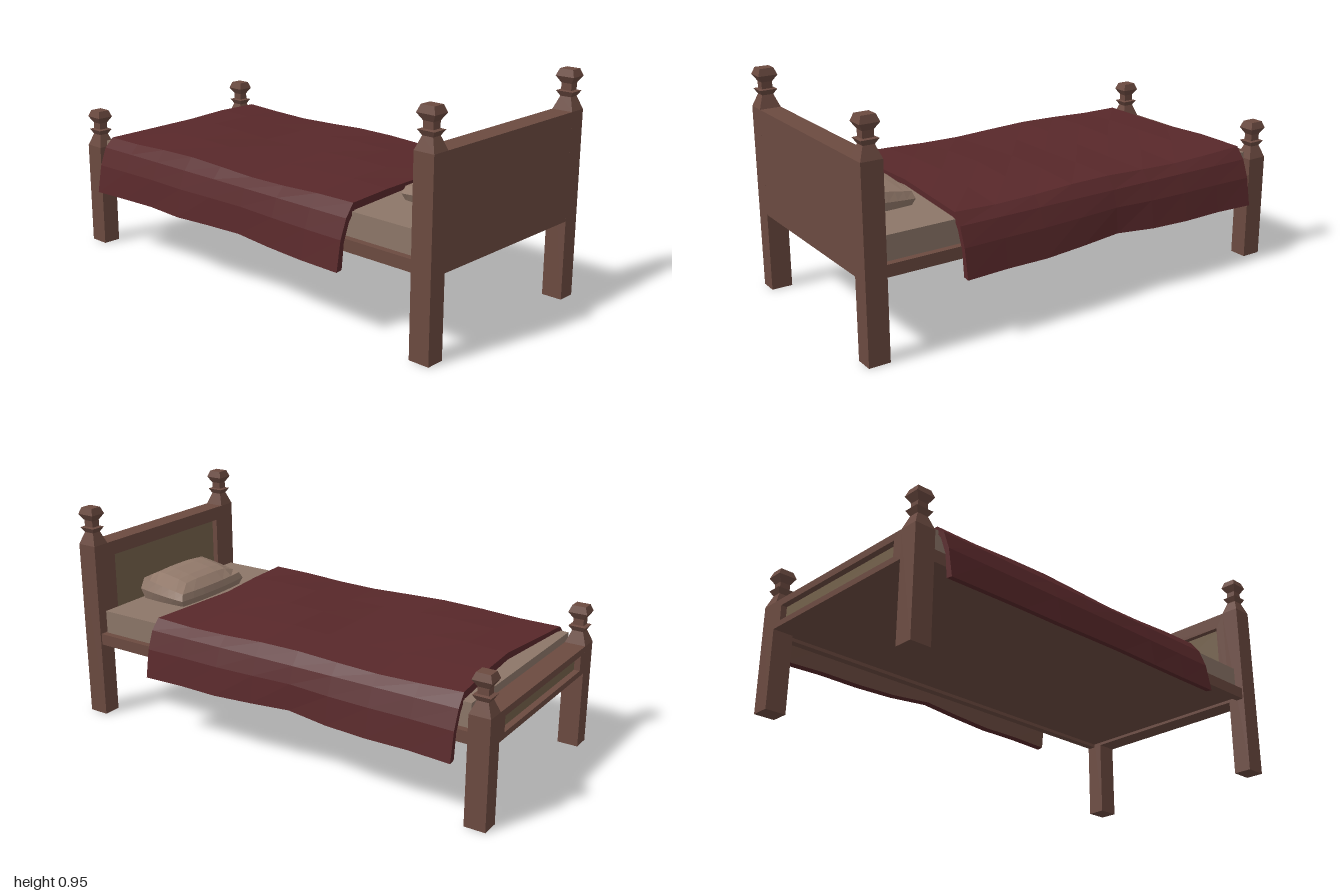
import * as THREE from 'three';

const mat = (color) => new THREE.MeshStandardMaterial({ color, flatShading: true, roughness: 0.9 });
const wood = mat(0x6b4a40);
const panelWood = mat(0x73604a);
const linen = mat(0x8c7668);
const pillowCloth = mat(0x937a6b);
const red = mat(0x58282a);
const lining = mat(0x6b4a40);

function add(parent, name, geometry, material, x = 0, y = 0, z = 0) {
  const mesh = new THREE.Mesh(geometry, material);
  mesh.name = name;
  mesh.position.set(x, y, z);
  parent.add(mesh);
  return mesh;
}

// Box given by its two extreme corners
function block(parent, name, material, [x0, y0, z0], [x1, y1, z1]) {
  return add(parent, name, new THREE.BoxGeometry(x1 - x0, y1 - y0, z1 - z0), material,
    (x0 + x1) / 2, (y0 + y1) / 2, (z0 + z1) / 2);
}

// Square post with a stepped finial; h is the shoulder height
function postGeometry(h) {
  const profile = [
    [0, 0], [0.0395, 0], [0.0395, h], [0.021, h + 0.053], [0.033, h + 0.075], [0.02, h + 0.078],
    [0.02, h + 0.106], [0.036, h + 0.134], [0.026, h + 0.163], [0, h + 0.163],
  ].map(([r, y]) => new THREE.Vector2(r * Math.SQRT2, y));
  const geo = new THREE.LatheGeometry(profile, 4, Math.PI / 4);
  geo.scale(1, 1, 1.14);
  return geo;
}

// End board with a recessed panel on its -z face
function endBoard(parent, name, y0, y1, p0, p1, zMin) {
  const group = new THREE.Group();
  group.name = name;
  parent.add(group);
  const depth = 0.09, recess = 0.03, w = 0.4, pw = 0.355;
  const frame = new THREE.Shape([[-w, y0], [w, y0], [w, y1], [-w, y1]].map(([x, y]) => new THREE.Vector2(x, y)));
  frame.holes.push(new THREE.Path([[-pw, p0], [-pw, p1], [pw, p1], [pw, p0]].map(([x, y]) => new THREE.Vector2(x, y))));
  add(group, name + 'Frame', new THREE.ExtrudeGeometry(frame, { depth: recess, bevelEnabled: false }), wood, 0, 0, zMin);
  block(group, name + 'Back', wood, [-w, y0, zMin + recess], [w, y1, zMin + depth]);
  block(group, name + 'Panel', panelWood, [-pw, p0, zMin + recess - 0.004], [pw, p1, zMin + recess + 0.01]);
}

// Draped blanket: a thick cross-section swept along the bed with gentle ripples
function blanketGeometry() {
  const outerHalf = [[0.525, 0.268], [0.504, 0.39], [0.474, 0.468], [0.434, 0.51], [0.22, 0.518]];
  const innerHalf = [[0.497, 0.272], [0.486, 0.375], [0.458, 0.45], [0.425, 0.49], [0.22, 0.492]];
  const mirror = (half) => [...half, [0, half[4][1] + 0.002], ...half.slice().reverse().map(([x, y]) => [-x, y])];
  const outer = mirror(outerHalf);
  const ring = [...outer, ...mirror(innerHalf).reverse()];
  const n = ring.length, m = outer.length, steps = 8;
  const pos = [], index = [];
  for (let i = 0; i <= steps; i++) {
    const t = i / steps;
    const free = 1 - Math.abs(2 * t - 1);
    ring.forEach(([x, y], j) => {
      const side = Math.sign(x);
      // 0 at the mattress edge, 1 at the hem
      const hang = THREE.MathUtils.clamp((0.47 - y) / 0.2, 0, 1);
      // ends are drawn in slightly at the middle of the bed
      const inset = 0.035 * Math.max(0, 1 - Math.abs(x) / 0.45);
      const z = THREE.MathUtils.lerp(-0.87 + inset, 0.6 - inset, t);
      const ripple = Math.sin(i * 1.7 + side * 0.8);
      const lift = hang > 0 ? hang * free * (0.014 + 0.008 * ripple)
        : (j < m ? 0.003 + 0.007 * Math.sin(i * 1.3 + x * 5) : 0);
      pos.push(x - side * hang * free * (0.012 + 0.008 * ripple), y + lift, z);
    });
  }
  for (let j = 0; j < n; j++) {
    for (let i = 0; i < steps; i++) {
      const a = i * n + j, b = i * n + (j + 1) % n, c = a + n, d = b + n;
      index.push(a, b, c, b, d, c);
    }
  }
  // end caps join the upper and lower layers
  for (let j = 0; j < m - 1; j++) {
    const a = j, b = j + 1, c = n - 1 - j, d = n - 2 - j, e = steps * n;
    index.push(a, c, b, b, c, d, e + a, e + b, e + c, e + b, e + d, e + c);
  }
  const geo = new THREE.BufferGeometry();
  geo.setAttribute('position', new THREE.Float32BufferAttribute(pos, 3));
  geo.setIndex(index);
  geo.computeVertexNormals();
  // upper cloth and hem, lining, then the other hem and end caps
  const strip = steps * 6;
  geo.addGroup(0, m * strip, 0);
  geo.addGroup(m * strip, (m - 1) * strip, 1);
  geo.addGroup((n - 1) * strip, index.length - (n - 1) * strip, 0);
  return geo;
}

// Cushion with a flat base and a puffed top that rises towards the headboard
function pillowGeometry() {
  const geo = new THREE.BoxGeometry(2, 2, 2, 6, 2, 6);
  const p = geo.attributes.position;
  for (let i = 0; i < p.count; i++) {
    const x = p.getX(i), y = p.getY(i), z = p.getZ(i);
    const puff = (1 - x ** 4) * (1 - z ** 4);
    const height = 0.077 + 0.02 * z + 0.036 * puff;
    const rim = 1 - 0.07 * Math.abs(y);
    p.setXYZ(i, x * 0.224 * rim * (1 - 0.03 * z * z), (y + 1) / 2 * height, z * 0.134 * rim * (1 - 0.09 * x * x));
  }
  geo.computeVertexNormals();
  return geo;
}

export function createModel() {
  const bed = new THREE.Group();
  bed.name = 'bed';

  // Corner posts and side rails
  for (const side of [-1, 1]) {
    add(bed, 'headPost', postGeometry(0.787), wood, side * 0.435, 0, 0.955);
    add(bed, 'footPost', postGeometry(0.458), wood, side * 0.435, 0, -0.955);
    const xs = [side * 0.435, side * 0.468].sort((a, b) => a - b);
    block(bed, 'sideRail', wood, [xs[0], 0.335, -0.92], [xs[1], 0.385, 0.92]);
  }

  // Head and foot boards
  endBoard(bed, 'headboard', 0.337, 0.787, 0.42, 0.725, 0.91);
  endBoard(bed, 'footboard', 0.337, 0.458, 0.362, 0.428, -1);

  // Base and bedding
  block(bed, 'base', wood, [-0.437, 0.35, -0.912], [0.437, 0.386, 0.912]);
  block(bed, 'mattress', linen, [-0.441, 0.386, -0.905], [0.441, 0.487, 0.9]);
  add(bed, 'blanket', blanketGeometry(), [red, lining]);
  add(bed, 'pillow', pillowGeometry(), pillowCloth, 0.007, 0.487, 0.766);

  return bed;
}
